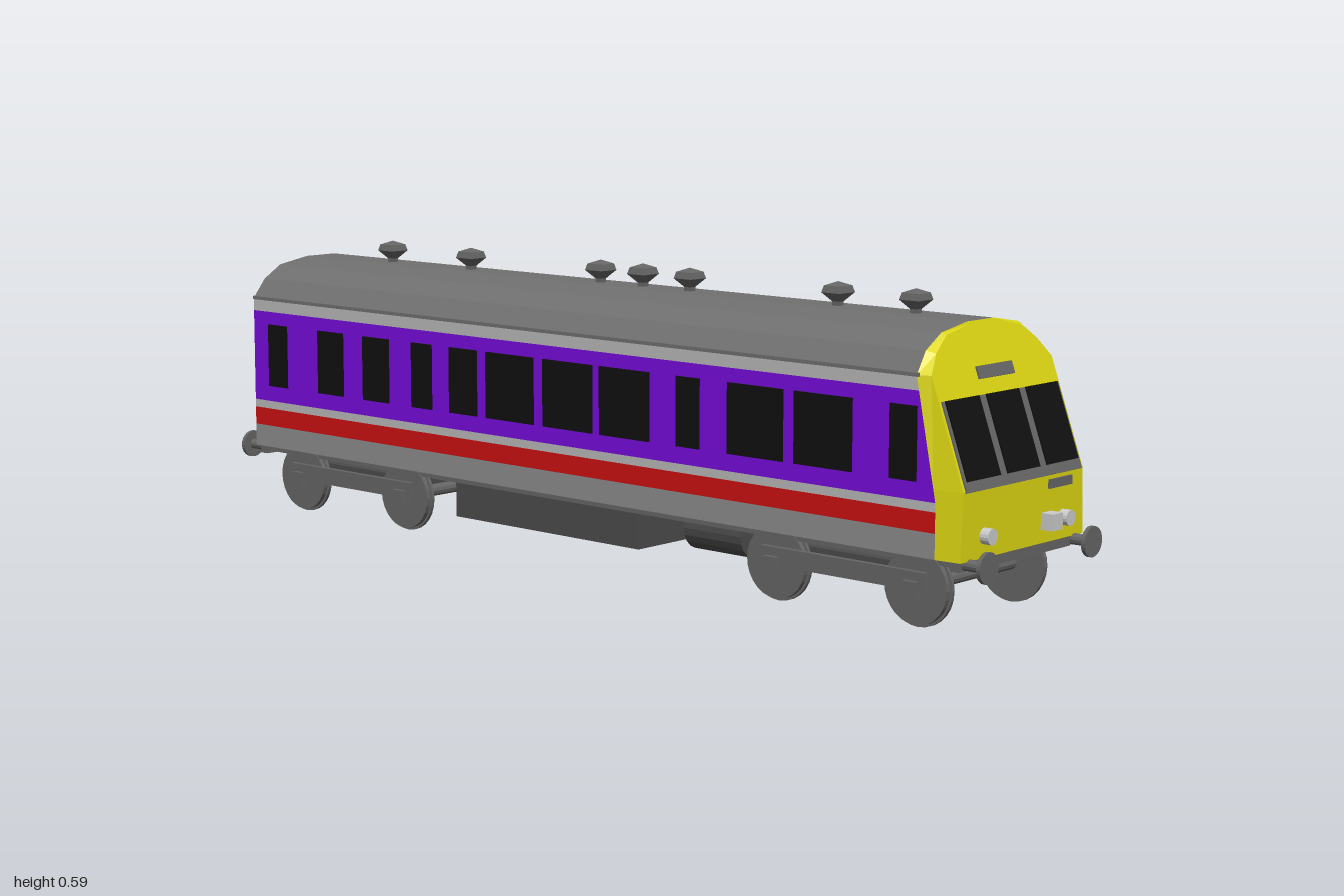
import * as THREE from 'three';

const mat = (color) => new THREE.MeshStandardMaterial({ color, flatShading: true });
const M = {
  roof: mat(0x707070), under: mat(0x666666), dark: mat(0x4c4c4c), lower: mat(0x8c8c8c), light: mat(0xb8b8b8),
  red: mat(0xcc1111), purple: mat(0x780cdc), yellow: mat(0xdcd612), glass: mat(0x101010), lamp: mat(0xcccccc),
};

const lerp = THREE.MathUtils.lerp;
// z of the body/cab joint and of the raked cab front at a given height
const zJoint = (y) => (y < 0.24 ? 0.905 : lerp(0.905, 0.855, Math.min(1, (y - 0.24) / 0.25)));
const zFront = (y) => (y < 0.265 ? 0.958 : lerp(0.958, 0.855, (y - 0.265) / 0.281));
const RAKE = -Math.atan(0.103 / 0.281);
const Z_BACK = -0.945;

// half cross-section of the body above the side walls
const ROOF = [[0.195, 0.465], [0.163, 0.505], [0.118, 0.533], [0.04, 0.546]];

function add(parent, name, geometry, material, x = 0, y = 0, z = 0) {
  const mesh = new THREE.Mesh(geometry, material);
  mesh.name = name;
  mesh.position.set(x, y, z);
  parent.add(mesh);
  return mesh;
}
const box = (p, name, m, w, h, d, x, y, z) => add(p, name, new THREE.BoxGeometry(w, h, d), m, x, y, z);
const rod = (p, name, m, r, len, axis, x, y, z, sides = 24) => {
  const g = new THREE.CylinderGeometry(r, r, len, sides);
  if (axis === 'x') g.rotateZ(Math.PI / 2);
  if (axis === 'z') g.rotateX(Math.PI / 2);
  return add(p, name, g, m, x, y, z);
};

// quads given as four counter-clockwise corners
function quads(list) {
  const pos = [];
  for (const [a, b, c, d] of list) pos.push(...a, ...b, ...c, ...a, ...c, ...d);
  const g = new THREE.BufferGeometry();
  g.setAttribute('position', new THREE.Float32BufferAttribute(pos, 3));
  g.computeVertexNormals();
  return g;
}
// strip of body skin running the length of the coach between two profile points
const skin = ([x0, y0], [x1, y1]) => [
  [x0, y0, zJoint(y0)], [x0, y0, Z_BACK], [x1, y1, Z_BACK], [x1, y1, zJoint(y1)],
];

function buildBody(root) {
  const body = new THREE.Group();
  body.name = 'body';
  root.add(body);

  // coloured bands of the side walls
  const bands = [
    ['lowerPanel', M.lower, 0.14, 0.187], ['redStripe', M.red, 0.187, 0.225], ['lowerLightStripe', M.light, 0.225, 0.242],
    ['purplePanel', M.purple, 0.242, 0.438], ['upperLightStripe', M.light, 0.438, 0.465],
  ];
  for (const [name, m, y0, y1] of bands) {
    add(body, name, quads([skin([0.195, y0], [0.195, y1]), skin([-0.195, y1], [-0.195, y0])]), m);
  }

  // faceted roof and floor
  const arc = [...ROOF, ...ROOF.map(([x, y]) => [-x, y]).reverse()];
  add(body, 'roof', quads(arc.slice(1).map((p, i) => skin(arc[i], p))), M.roof);
  add(body, 'floor', quads([skin([-0.195, 0.14], [0.195, 0.14])]), M.under);
  for (const s of [-1, 1]) box(body, 'gutter', M.roof, 0.005, 0.007, 1.81, s * 0.195, 0.466, -0.04);

  // rear wall
  const outline = [[0.195, 0.14], ...arc, [-0.195, 0.14]];
  const rear = new THREE.ShapeGeometry(new THREE.Shape(outline.map(([x, y]) => new THREE.Vector2(x, y))));
  rear.rotateY(Math.PI);
  add(body, 'rearWall', rear, M.under, 0, 0, Z_BACK);

  // rear gangway with an arched top
  const arch = new THREE.Shape();
  arch.moveTo(-0.1, 0.155).lineTo(0.1, 0.155).lineTo(0.1, 0.39);
  arch.absellipse(0, 0.39, 0.1, 0.077, 0, Math.PI, false);
  arch.closePath();
  const gangway = new THREE.ExtrudeGeometry(arch, { depth: 0.047, bevelEnabled: false, curveSegments: 6 });
  add(body, 'gangway', gangway, M.dark, 0, 0, -0.991);

  // side windows, as centre and width along z
  const windows = [
    [0.833, 0.06], [0.651, 0.134], [0.49, 0.134], [0.324, 0.058], [0.16, 0.13], [0.008, 0.134],
    [-0.153, 0.134], [-0.287, 0.08], [-0.41, 0.06], [-0.55, 0.08], [-0.693, 0.08], [-0.865, 0.06],
  ];
  for (const s of [-1, 1]) {
    for (const [z, w] of windows) box(body, 'sideWindow', M.glass, 0.006, 0.135, w, s * 0.1955, 0.343, z);
  }
}

function buildCab(root) {
  const cab = new THREE.Group();
  cab.name = 'cab';
  root.add(cab);

  // shell joining the body end to the slightly narrower raked front
  const half = [[0.195, 0.14], [0.195, 0.265], ...ROOF];
  const ring = [...half, ...half.map(([x, y]) => [-x, y]).reverse()];
  const joint = ([x, y]) => [x, y, zJoint(y)];
  const nose = ([x, y]) => {
    const yn = y > 0.48 ? y - 0.005 : y;
    return [x * (y < 0.2 ? 0.98 : 0.95), yn, zFront(yn)];
  };
  const shell = ring.map((p, i) => {
    const q = ring[(i + 1) % ring.length];
    return [nose(p), joint(p), joint(q), nose(q)];
  });
  const mirror = ([x, y, z]) => [-x, y, z];
  const face = half.slice(1).map((q, i) => {
    const a = nose(half[i]), b = nose(q);
    return [mirror(a), a, b, mirror(b)];
  });
  add(cab, 'cabShell', quads([...shell, ...face]), M.yellow);

  // panels lying on the raked front
  const panel = (name, m, x, y, w, h, t) => {
    const p = box(cab, name, m, w, h / Math.cos(RAKE), t, x, y, zFront(y));
    p.rotation.x = RAKE;
  };
  panel('windscreenFrame', M.under, 0, 0.341, 0.358, 0.156, 0.006);
  for (const x of [-0.122, 0, 0.122]) panel('windscreen', M.glass, x, 0.35, 0.1, 0.138, 0.012);
  panel('destinationBox', M.under, 0, 0.457, 0.108, 0.022, 0.008);
  box(cab, 'numberPlate', M.under, 0.072, 0.017, 0.008, 0.111, 0.247, 0.958);

  // lamps
  for (const x of [-0.121, 0.123]) rod(cab, 'headlamp', M.lamp, 0.015, 0.03, 'z', x, 0.18, 0.962, 16);
  box(cab, 'lampBox', M.lamp, 0.032, 0.031, 0.036, 0.07, 0.181, 0.966);
}

function buildVents(root) {
  const profile = [[0, 0.54], [0.011, 0.54], [0.011, 0.554], [0.032, 0.571], [0.027, 0.584], [0, 0.592]]
    .map(([x, y]) => new THREE.Vector2(x, y));
  const geo = new THREE.LatheGeometry(profile, 4).rotateY(Math.PI / 4);
  for (const z of [0.71, 0.527, 0.155, 0.03, -0.086, -0.463, -0.707]) add(root, 'roofVent', geo, M.under, 0, 0, z);
}

function buildBogie(z) {
  const bogie = new THREE.Group();
  bogie.name = 'bogie';
  bogie.position.z = z;
  box(bogie, 'bogieBlock', M.dark, 0.27, 0.045, 0.32, 0, 0.088, 0);
  box(bogie, 'bogiePivot', M.dark, 0.1, 0.03, 0.1, 0, 0.122, 0);
  for (const s of [-1, 1]) box(bogie, 'sideFrame', M.under, 0.012, 0.035, 0.38, s * 0.161, 0.088, 0);
  for (const wz of [-0.1625, 0.1625]) {
    rod(bogie, 'axle', M.under, 0.013, 0.3, 'x', 0, 0.075, wz, 12);
    for (const s of [-1, 1]) {
      rod(bogie, 'wheelFlange', M.under, 0.075, 0.007, 'x', s * 0.1435, 0.075, wz, 28);
      rod(bogie, 'wheelTread', M.under, 0.07, 0.012, 'x', s * 0.151, 0.075, wz, 28);
      box(bogie, 'axleBox', M.under, 0.022, 0.031, 0.031, s * 0.165, 0.073, wz);
    }
  }
  return bogie;
}

function buildUnderframe(root) {
  const frame = new THREE.Group();
  frame.name = 'underframe';
  root.add(frame);
  box(frame, 'solebar', M.under, 0.31, 0.02, 1.91, 0, 0.131, 0);
  box(frame, 'equipmentBox', M.dark, 0.31, 0.09, 0.513, 0, 0.095, -0.0965);
  for (const x of [0.147, -0.06]) rod(frame, 'tank', M.dark, 0.047, 0.145, 'z', x, 0.097, 0.308, 20);
  for (const z of [0.6725, -0.6725]) frame.add(buildBogie(z));

  // buffers at both ends
  for (const e of [-1, 1]) {
    for (const s of [-1, 1]) {
      rod(frame, 'bufferShank', M.under, 0.011, 0.06, 'z', s * 0.163, 0.133, e * 0.962, 12);
      rod(frame, 'bufferHead', M.under, 0.029, 0.008, 'z', s * 0.163, 0.133, e * 0.996, 24);
    }
    box(frame, 'bufferBeam', M.under, 0.36, 0.026, 0.02, 0, 0.133, e * 0.938);
  }
}

export function createModel() {
  const root = new THREE.Group();
  root.name = 'railcar';
  buildBody(root);
  buildCab(root);
  buildVents(root);
  buildUnderframe(root);
  return root;
}
